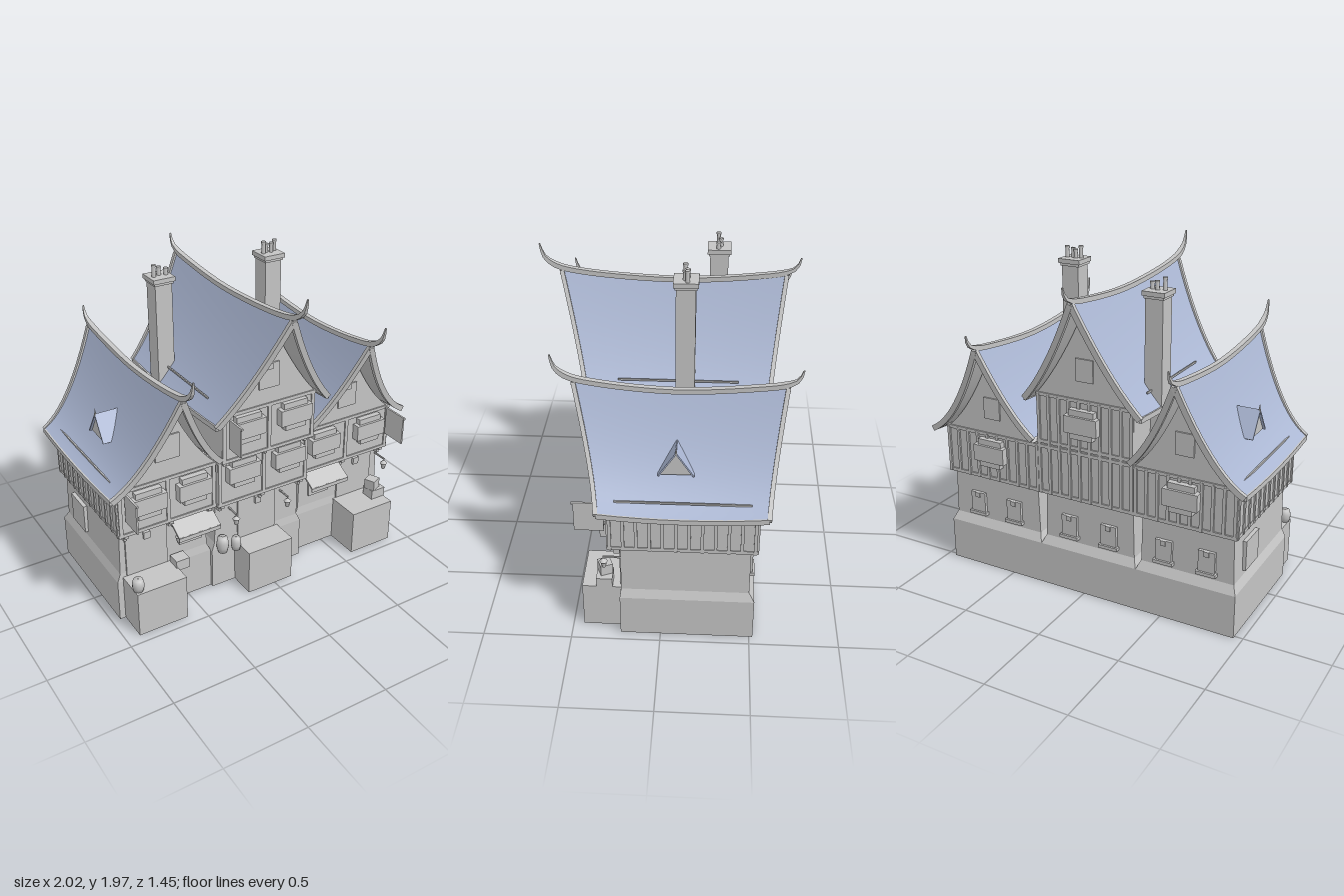
import * as THREE from 'three';

const V = (x, y, z) => new THREE.Vector3(x, y, z);
const stone = new THREE.MeshStandardMaterial({ color: 0xc4c4c4, side: THREE.DoubleSide });
stone.name = 'stoneGrey';
const slate = new THREE.MeshStandardMaterial({ color: 0xaab6d2, side: THREE.DoubleSide });
slate.name = 'slateBlue';

export function createModel() {
  const root = new THREE.Group();
  root.name = 'townhouseRow';
  const BACK = -0.52;

  const add = (name, geo, mat = stone, parent = root) => {
    const m = new THREE.Mesh(geo, mat);
    m.name = name;
    parent.add(m);
    return m;
  };
  // box given by its limits
  const box = (name, x0, x1, y0, y1, z0, z1, mat) => {
    const m = add(name, new THREE.BoxGeometry(x1 - x0, y1 - y0, z1 - z0), mat);
    m.position.set((x0 + x1) / 2, (y0 + y1) / 2, (z0 + z1) / 2);
    return m;
  };
  // flat-shaded skin over a row of four-cornered rings
  const loft = (rings, caps) => {
    const p = [];
    const quad = (a, b, c, d) => [a, b, c, a, c, d].forEach(v => p.push(v.x, v.y, v.z));
    for (let i = 0; i < rings.length - 1; i++)
      for (let k = 0; k < 4; k++) {
        const n = (k + 1) % 4;
        quad(rings[i][k], rings[i][n], rings[i + 1][n], rings[i + 1][k]);
      }
    if (caps) {
      const e = rings[rings.length - 1];
      quad(rings[0][3], rings[0][2], rings[0][1], rings[0][0]);
      quad(e[0], e[1], e[2], e[3]);
    }
    const g = new THREE.BufferGeometry();
    g.setAttribute('position', new THREE.Float32BufferAttribute(p, 3));
    g.computeVertexNormals();
    return g;
  };
  // rectangular beam along a path; size(i) gives [half width, half height]
  const beam = (pts, side, size) => loft(pts.map((p, i) => {
    const t = pts[Math.min(i + 1, pts.length - 1)].clone().sub(pts[Math.max(i - 1, 0)]);
    const n = side.clone().cross(t).normalize();
    const [w, h] = size(i / (pts.length - 1));
    return [[-w, -h], [w, -h], [w, h], [-w, h]].map(([a, b]) =>
      p.clone().addScaledVector(side, a).addScaledVector(n, b));
  }), true);

  // a: straightness of the roof slope; un, up: how far each slope reaches to -x and +x
  const houses = [
    { cx: -0.63, x0: -0.95, x1: -0.342, ux0: -0.945, ux1: -0.335, f: 0.255, uf: 0.31, yr: 1.4, ye: 0.87, w: 0.37, a: 0.32, zr: 0.5, ze: 0.36, un: 1, up: 0.8 },
    { cx: -0.03, x0: -0.342, x1: 0.29, ux0: -0.33, ux1: 0.285, f: 0.275, uf: 0.33, yr: 1.745, ye: 1.18, w: 0.365, a: 0.64, zr: 0.6, ze: 0.44, un: 1, up: 1 },
    { cx: 0.6, x0: 0.29, x1: 0.945, ux0: 0.285, ux1: 0.935, f: 0.225, uf: 0.28, yr: 1.4, ye: 0.87, w: 0.4, a: 0.32, zr: 0.47, ze: 0.33, un: 0.78, up: 1 },
  ];
  const rise = (h, u) => h.a * (1 - u) + (1 - h.a) * (1 - u) ** 2;
  // point on a roof slope: u from ridge to eave, t from back to front
  const roofPoint = (h, s, u, t) => {
    const g = rise(h, u);
    const zb = -0.57 - 0.08 * g, zf = h.ze + (h.zr - h.ze) * g;
    const y = h.ye + (h.yr - h.ye) * g + 0.055 * (2 * t - 1) ** 2 * (1 - 0.6 * u);
    return V(h.cx + s * h.w * u, y, zb + (zf - zb) * t);
  };

  for (const h of houses) {
    const mid = h === houses[1];
    // stone ground floor, open below
    const ring = (y, i, j) => [V(h.x0 + i, y, BACK + j), V(h.x1 - i, y, BACK + j), V(h.x1 - i, y, h.f - i / 3), V(h.x0 + i, y, h.f - i / 3)];
    add('groundFloor', loft([ring(0, 0, 0), ring(0.26, 0, 0), ring(0.31, 0.022, 0.03), ring(0.6, 0.03, 0.03)]));

    // upper storeys and gable under the roof curve
    const y0 = mid ? 0.91 : 0.6, front = mid ? 0.38 : h.uf;
    const shape = new THREE.Shape();
    shape.moveTo(h.ux0, y0);
    shape.lineTo(h.ux1, y0);
    for (let i = 0; i <= 24; i++) {
      const x = h.ux1 + (h.ux0 - h.ux1) * i / 24;
      const g = rise(h, Math.min(1, Math.abs(x - h.cx) / h.w));
      shape.lineTo(x, h.ye + (h.yr - h.ye) * g - 0.02);
    }
    add('gableStorey', new THREE.ExtrudeGeometry(shape, { depth: front - BACK, bevelEnabled: false })).position.z = BACK;
    if (mid) box('firstStorey', h.ux0, h.ux1, 0.6, 0.91, BACK, h.uf);

    // horizontal timbers and posts
    const rails = mid ? [[0.6, h.uf], [0.885, h.uf], [0.915, front], [1.2, front]] : [[0.6, front], [0.88, front]];
    for (const [y, z] of rails) box('rail', h.ux0 - 0.004, h.ux1 + 0.004, y, y + 0.02, BACK - 0.008, z + 0.008);
    const n = 9;
    for (let i = 0; i <= n; i++) {
      const x = h.ux0 + 0.01 + (h.ux1 - h.ux0 - 0.02) * i / n;
      box('backPost', x - 0.009, x + 0.009, 0.6, mid ? 1.21 : 0.89, BACK - 0.01, BACK);
    }
    for (const x of [h.ux0 + 0.012, (h.ux0 + h.ux1) / 2, h.ux1 - 0.012]) {
      box('frontPost', x - 0.011, x + 0.011, 0.6, 0.89, h.uf, h.uf + 0.008);
      if (mid) box('frontPost', x - 0.011, x + 0.011, 0.92, 1.21, front, front + 0.008);
    }

    // roof slopes, undersides, barge boards and eave trims
    for (const s of [-1, 1]) {
      const reach = s < 0 ? h.un : h.up;
      for (const [name, drop, mat] of [['roofSlope', 0, slate], ['roofUnderside', 0.03, stone]]) {
        const g = new THREE.PlaneGeometry(1, 1, 12, 14), p = g.attributes.position;
        for (let i = 0; i < p.count; i++) {
          const q = roofPoint(h, s, reach * (s * p.getX(i) + 0.5), 0.5 - p.getY(i));
          p.setXYZ(i, q.x, q.y - drop, q.z);
        }
        g.computeVertexNormals();
        add(name, g, mat);
      }
      for (const t of [0, 1]) {
        const pts = Array.from({ length: 13 }, (_, i) => roofPoint(h, s, reach * i / 12, t).add(V(0, -0.014, 0)));
        add('bargeBoard', beam(pts, V(0, 0, 1), () => [0.012, 0.017]));
      }
      if (reach === 1) {
        const pts = Array.from({ length: 9 }, (_, i) => roofPoint(h, s, 1, i / 8).add(V(0, -0.014, 0)));
        add('eaveTrim', beam(pts, V(1, 0, 0), () => [0.008, 0.015]));
      }
    }

    // ridge beam with upswept horns
    const yr = h.yr, zf = h.zr;
    const ridge = new THREE.CatmullRomCurve3([
      V(h.cx, yr + 0.2, zf + 0.118), V(h.cx, yr + 0.125, zf + 0.095), V(h.cx, yr + 0.075, zf + 0.03), V(h.cx, yr + 0.04, zf - 0.12),
      V(h.cx, yr + 0.005, -0.07), V(h.cx, yr + 0.035, -0.5), V(h.cx, yr + 0.06, -0.65), V(h.cx, yr + 0.09, -0.705), V(h.cx, yr + 0.145, -0.725)]);
    add('ridgeBeam', beam(ridge.getSpacedPoints(40), V(1, 0, 0), k => {
      const e = Math.min(1, 0.25 + Math.min(k, 1 - k) * 8);
      return [0.015 * e, 0.014 * e];
    }));
  }

  // side wall posts
  for (const [x, z1] of [[-0.945, 0.31], [0.935, 0.28]])
    for (let i = 0; i <= 11; i++) {
      const z = BACK + 0.01 + (z1 - BACK - 0.02) * i / 11;
      box('sidePost', x - 0.008, x + 0.008, 0.6, 0.89, z - 0.009, z + 0.009);
    }

  // box windows; d is the facing direction
  const bay = (x, y, z, d = 1) => {
    for (const [w, a, b, t] of [[0.08, -0.03, 0.085, 0.035], [0.104, -0.05, 0.05, 0.05], [0.07, -0.085, -0.05, 0.04]])
      box('bayWindow', x - w, x + w, y + a, y + b, Math.min(z, z + d * t), Math.max(z, z + d * t));
  };
  [-0.77, -0.485].forEach(x => bay(x, 0.785, 0.31));
  [0.43, 0.77].forEach(x => bay(x, 0.785, 0.28));
  [-0.175, 0.135].forEach(x => { bay(x, 0.81, 0.33); bay(x, 1.115, 0.38); });
  for (const [x, y] of [[-0.63, 0.78], [-0.02, 1.08], [0.61, 0.78]]) bay(x, y, BACK, -1);

  // gable shutters, front and back
  for (const [x, y, w, z] of [[-0.635, 1.085, 0.075, 0.31], [-0.03, 1.39, 0.065, 0.38], [0.6, 1.055, 0.065, 0.28]]) {
    box('gableShutter', x - w, x + w, y - 0.074, y + 0.074, z, z + 0.009);
    box('gableShutter', x - 0.055, x + 0.055, y - 0.065, y + 0.065, BACK - 0.009, BACK);
    if (w < 0.07) box('shutterHook', x - 0.02, x + 0.02, y + 0.04, y + 0.074, z, z + 0.016);
  }

  // back and side ground-floor windows
  for (const x of [0.75, 0.49, 0.1, -0.16, -0.51, -0.77]) {
    box('backWindow', x - 0.05, x + 0.05, 0.35, 0.48, -0.508, -0.49);
    box('backSill', x - 0.06, x + 0.06, 0.335, 0.355, -0.52, -0.49);
    box('backLatch', x - 0.015, x + 0.015, 0.45, 0.48, -0.515, -0.49);
  }
  box('sideWindow', -0.945, -0.92, 0.34, 0.52, -0.37, -0.19);

  // door steps and doors
  for (const [x0, x1, f] of [[-0.915, -0.605, 0.255], [-0.185, 0.12, 0.275], [0.585, 0.885, 0.225]]) {
    const c = (x0 + x1) / 2;
    box('doorStep', x0, x1, 0, 0.285, f - 0.02, 0.44);
    box('door', c - 0.13, c + 0.13, 0.29, 0.555, f - 0.02, f + 0.003);
    box('doorKeystone', c - 0.02, c + 0.02, 0.51, 0.555, f - 0.02, f + 0.02);
  }

  // shop windows with sloping awnings
  for (const [x, f] of [[-0.475, 0.255], [0.46, 0.225]]) {
    box('shopWindow', x - 0.075, x + 0.075, 0.375, 0.53, f - 0.02, f + 0.003);
    const a = box('awning', x - 0.135, x + 0.135, 0.535, 0.547, f - 0.01, f + 0.13);
    a.rotation.x = 0.5;
    box('awningValance', x - 0.135, x + 0.135, 0.485, 0.515, f + 0.113, f + 0.121);
  }

  // brackets below the jetties
  const bracket = (x, y, z) => {
    box('bracket', x - 0.012, x + 0.012, y - 0.025, y, z - 0.06, z);
    box('bracket', x - 0.009, x + 0.009, y - 0.055, y - 0.025, z - 0.06, z - 0.025);
  };
  for (const [x, z] of [[-0.9, 0.31], [-0.62, 0.31], [-0.37, 0.31], [-0.3, 0.33], [-0.024, 0.33], [0.25, 0.33], [0.31, 0.28], [0.605, 0.28], [0.9, 0.28]]) bracket(x, 0.605, z);
  for (const x of [-0.297, -0.024, 0.25]) bracket(x, 0.935, 0.38);

  // lanterns on arms
  for (const [x, z] of [[-0.59, 0.33], [-0.22, 0.35], [0.14, 0.35], [0.91, 0.31]]) {
    add('lantern', new THREE.CylinderGeometry(0.019, 0.011, 0.04, 6)).position.set(x, 0.475, z);
    add('lanternCap', new THREE.ConeGeometry(0.024, 0.025, 6)).position.set(x, 0.507, z);
    box('lanternArm', x - 0.004, x + 0.004, 0.52, 0.53, z - 0.1, z + 0.004);
  }

  // hanging signs
  for (const [x, y, z0, z1] of [[-0.905, 0.71, 0.33, 0.47], [-0.305, 1.03, 0.42, 0.54], [0.91, 0.71, 0.3, 0.46]]) {
    box('signBoard', x - 0.005, x + 0.005, y, y + 0.17, z0, z1);
    box('signArm', x - 0.006, x + 0.006, y + 0.17, y + 0.182, z0 - 0.06, z1 + 0.01);
  }

  // barrels and crates
  const barrel = (x, y, z, r, h) => add('barrel', new THREE.LatheGeometry(
    [[0, 0], [0.8, 0], [1, 0.35], [1, 0.65], [0.8, 1], [0, 1]].map(([a, b]) => new THREE.Vector2(a * r, b * h)), 12)).position.set(x, y, z);
  barrel(-0.89, 0.285, 0.4, 0.035, 0.075);
  barrel(-0.29, 0.265, 0.31, 0.036, 0.1);
  barrel(-0.21, 0.265, 0.33, 0.03, 0.085);
  box('crate', -0.615, -0.53, 0.265, 0.33, 0.26, 0.34);
  box('crate', 0.79, 0.89, 0.27, 0.345, 0.27, 0.36);
  box('crate', 0.785, 0.855, 0.345, 0.41, 0.28, 0.35).rotation.y = 0.4;

  // dormers
  for (const [s, x, y] of [[-1, 0.87, 1.03], [1, 0.835, 1.03]]) {
    const d = new THREE.Group();
    d.name = 'dormer';
    d.position.set(s * x, y, -0.08);
    const tri = new THREE.Shape([[-0.085, 0], [0.085, 0], [0, 0.13]].map(([a, b]) => new THREE.Vector2(a, b)));
    const wall = add('dormerWall', new THREE.ExtrudeGeometry(tri, { depth: 0.13, bevelEnabled: false }), stone, d);
    wall.rotation.y = -s * Math.PI / 2;
    wall.position.x = -0.008 * s;
    for (const k of [-1, 1]) {
      const slope = add('dormerRoof', new THREE.BoxGeometry(0.14, 0.008, 0.172), slate, d);
      slope.position.set(-0.065 * s, 0.07, k * 0.046);
      slope.rotation.x = k * Math.atan2(0.13, 0.085);
    }
    add('dormerFinial', new THREE.ConeGeometry(0.008, 0.05, 6), stone, d).position.set(0, 0.155, 0);
    root.add(d);
  }

  // snow rails
  for (const [x, y, z0, z1] of [[-0.94, 0.91, -0.45, 0.23], [-0.335, 1.265, -0.38, 0.24], [0.28, 1.27, -0.4, 0.27], [0.935, 0.92, -0.48, 0.24]])
    box('snowRail', x - 0.004, x + 0.004, y, y + 0.01, z0, z1);

  // chimneys with caps and pots
  for (const [x, z, top, pots] of [
    [-0.345, -0.275, 1.795, [[-0.38, 0.07], [-0.342, 0.05], [-0.305, 0.04]]],
    [0.277, -0.105, 1.87, [[0.238, 0.07], [0.264, 0.05], [0.29, 0.055], [0.32, 0.065]]]]) {
    box('chimneyShaft', x - 0.053, x + 0.053, 0.9, top, z - 0.053, z + 0.053);
    box('chimneyCap', x - 0.06, x + 0.06, top - 0.015, top, z - 0.06, z + 0.06);
    box('chimneyCap', x - 0.068, x + 0.068, top, top + 0.026, z - 0.068, z + 0.068);
    pots.forEach(([px, h], i) => {
      const pz = z + (i % 2 ? -0.008 : 0.006);
      add('chimneyPot', new THREE.CylinderGeometry(0.01, 0.013, h, 8)).position.set(px, top + 0.026 + h / 2, pz);
      add('potRim', new THREE.CylinderGeometry(0.014, 0.014, 0.012, 8)).position.set(px, top + 0.02 + h, pz);
    });
  }
  return root;
}
